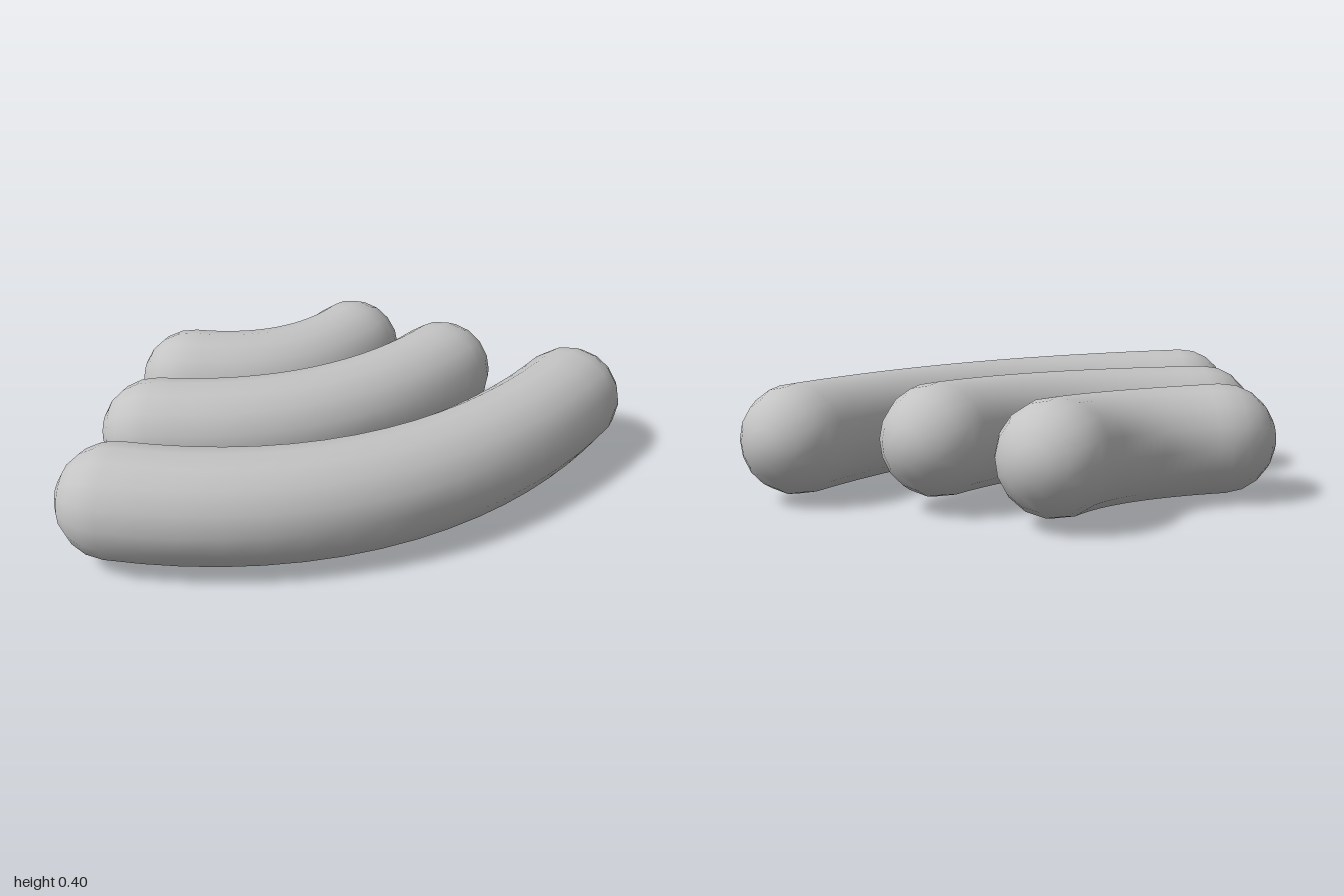
import * as THREE from 'three';
import { mergeVertices } from 'three/addons/utils/BufferGeometryUtils.js';

const RADIUS = 0.18;

// Capsule bent along a quadratic arc that passes through start, middle and end
function bentCapsule(start, middle, end) {
  const a = new THREE.Vector3(...start);
  const m = new THREE.Vector3(...middle);
  const b = new THREE.Vector3(...end);
  const control = m.clone().multiplyScalar(2).addScaledVector(a, -0.5).addScaledVector(b, -0.5);
  const curve = new THREE.QuadraticBezierCurve3(a, control, b);
  const length = curve.getLength();

  let geometry = new THREE.CapsuleGeometry(RADIUS, length, 5, 16, 16);
  const pos = geometry.attributes.position;
  const p = new THREE.Vector3();
  for (let i = 0; i < pos.count; i++) {
    p.fromBufferAttribute(pos, i);
    // the straight span follows the curve, the caps carry on along the end tangents
    const along = THREE.MathUtils.clamp(p.y, -length / 2, length / 2);
    const u = along / length + 0.5;
    const tangent = curve.getTangentAt(u);
    const up = new THREE.Vector3(0, 1, 0).addScaledVector(tangent, -tangent.y).normalize();
    const side = up.clone().cross(tangent);
    const q = curve.getPointAt(u)
      .addScaledVector(tangent, p.y - along)
      .addScaledVector(up, p.x)
      .addScaledVector(side, p.z);
    pos.setXYZ(i, q.x, q.y, q.z);
  }
  // weld the seam so the shading stays smooth
  geometry.deleteAttribute('uv');
  geometry.deleteAttribute('normal');
  geometry = mergeVertices(geometry, 1e-4);
  geometry.computeVertexNormals();
  return geometry;
}

export function createModel() {
  const group = new THREE.Group();
  group.name = 'curvedRolls';
  const grey = new THREE.MeshStandardMaterial({ color: 0xc4c4c4 });
  grey.name = 'light grey';

  // Three arcs, longest at the front
  const rolls = [
    ['longRoll', [-0.82, 0.2, 0.25], [-0.04, 0.185, 0.495], [0.82, 0.205, 0.23]],
    ['mediumRoll', [-0.575, 0.195, -0.145], [-0.04, 0.2, 0.01], [0.505, 0.225, -0.125]],
    ['shortRoll', [-0.33, 0.195, -0.5], [0, 0.19, -0.4], [0.32, 0.21, -0.495]],
  ];
  for (const [name, start, middle, end] of rolls) {
    const mesh = new THREE.Mesh(bentCapsule(start, middle, end), grey);
    mesh.name = name;
    group.add(mesh);
  }
  return group;
}
